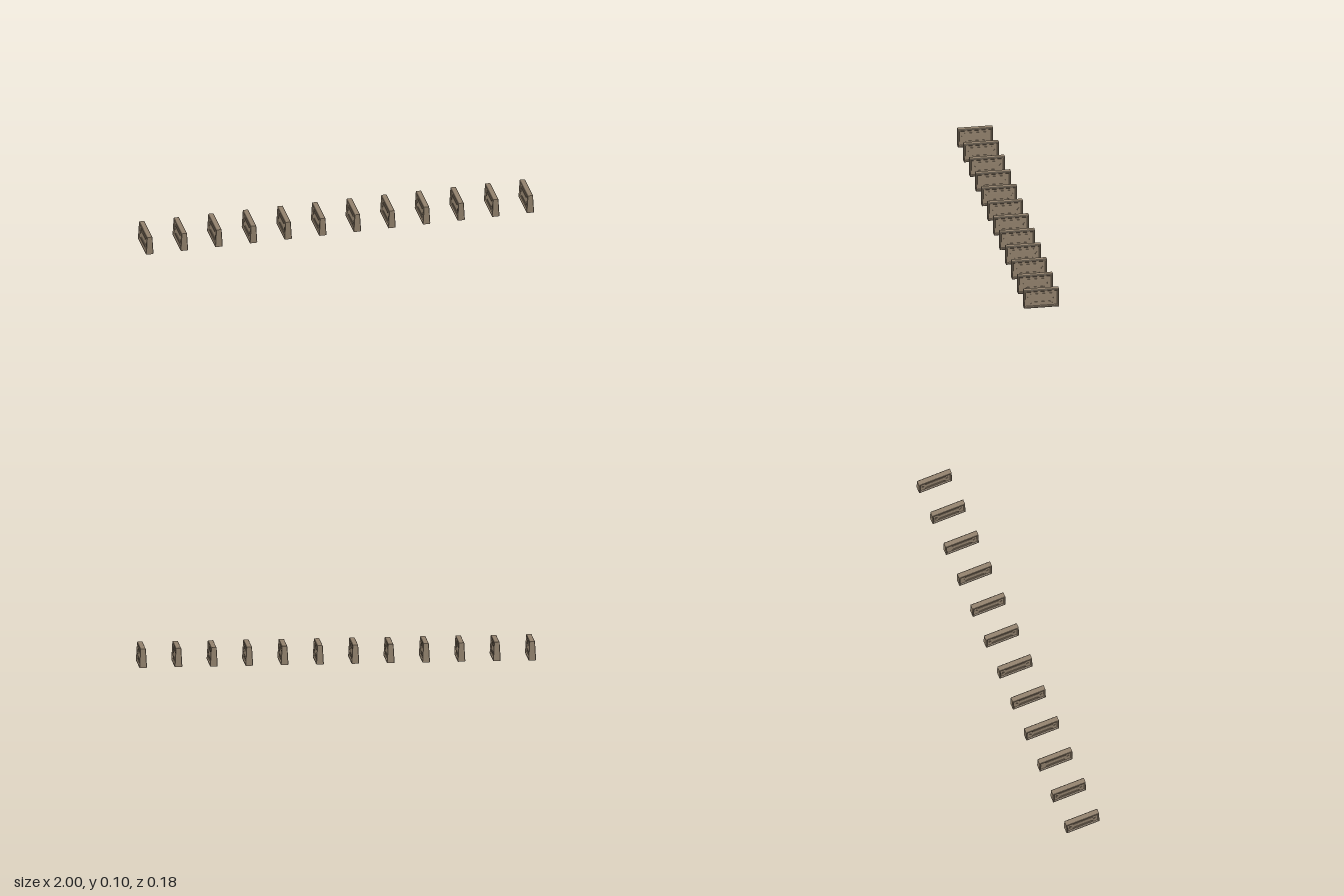
import * as THREE from 'three';

const stone = new THREE.MeshStandardMaterial({ color: 0x94836e });
stone.name = 'weathered stone';

// The slab is thicker at its foot than at its top
const taper = (y) => 1.11 - 3.4 * y;

// Flat-shaded loft through convex outlines [x, [[u, y], ...]] ordered from +x to -x, with u = -z
function loft(rings) {
  const pos = [];
  const loops = rings.map(([x, pts]) => pts.map(([u, y]) => [x * taper(y), y, -u]));
  const tri = (a, b, c) => pos.push(...a, ...b, ...c);
  const n = loops[0].length;
  const last = loops[loops.length - 1];
  for (let i = 1; i < n - 1; i++) {
    tri(loops[0][0], loops[0][i], loops[0][i + 1]);
    tri(last[0], last[i + 1], last[i]);
  }
  for (let k = 0; k < loops.length - 1; k++) {
    const A = loops[k], B = loops[k + 1];
    for (let i = 0; i < n; i++) {
      const j = (i + 1) % n;
      tri(A[i], B[i], B[j]);
      tri(A[i], B[j], A[j]);
    }
  }
  const g = new THREE.BufferGeometry();
  g.setAttribute('position', new THREE.Float32BufferAttribute(pos, 3));
  g.computeVertexNormals();
  return g;
}

const rect = (h, y0, y1) => [[-h, y0], [h, y0], [h, y1], [-h, y1]];

export function createModel() {
  const model = new THREE.Group();
  model.name = 'barrierRow';

  // Slab with a chamfered rim and a recessed panel on each broad face
  const half = [
    [0.012, rect(0.08, 0.011, 0.085)],
    [0.0172, rect(0.083, 0.008, 0.0885)],
    [0.018, rect(0.087, 0.003, 0.0945)],
    [0.0155, rect(0.089, 0, 0.097)],
  ];
  const slab = loft([...half, ...half.map(([x, p]) => [-x, p]).reverse()]);

  // Raised trapezoids around the middle of each panel
  const outlines = {
    upperPlate: [[-0.044, 0.064], [0.044, 0.064], [0.055, 0.075], [-0.055, 0.075]],
    lowerPlate: [[-0.055, 0.023], [0.055, 0.023], [0.044, 0.032], [-0.044, 0.032]],
    frontPlate: [[-0.07, 0.037], [-0.06, 0.046], [-0.06, 0.051], [-0.07, 0.06]],
    backPlate: [[0.07, 0.037], [0.07, 0.06], [0.06, 0.051], [0.06, 0.046]],
  };
  const plates = [];
  for (const [name, pts] of Object.entries(outlines)) {
    plates.push([name + 'Left', loft([[0.0145, pts], [0.0115, pts]])]);
    plates.push([name + 'Right', loft([[-0.0115, pts], [-0.0145, pts]])]);
  }

  // Twelve evenly spaced barriers
  for (let i = 0; i < 12; i++) {
    const barrier = new THREE.Group();
    barrier.name = 'barrier' + (i + 1);
    for (const [name, geometry] of [['slab', slab], ...plates]) {
      const mesh = new THREE.Mesh(geometry, stone);
      mesh.name = name;
      barrier.add(mesh);
    }
    barrier.position.x = -0.98 + (i * 1.96) / 11;
    model.add(barrier);
  }
  return model;
}
